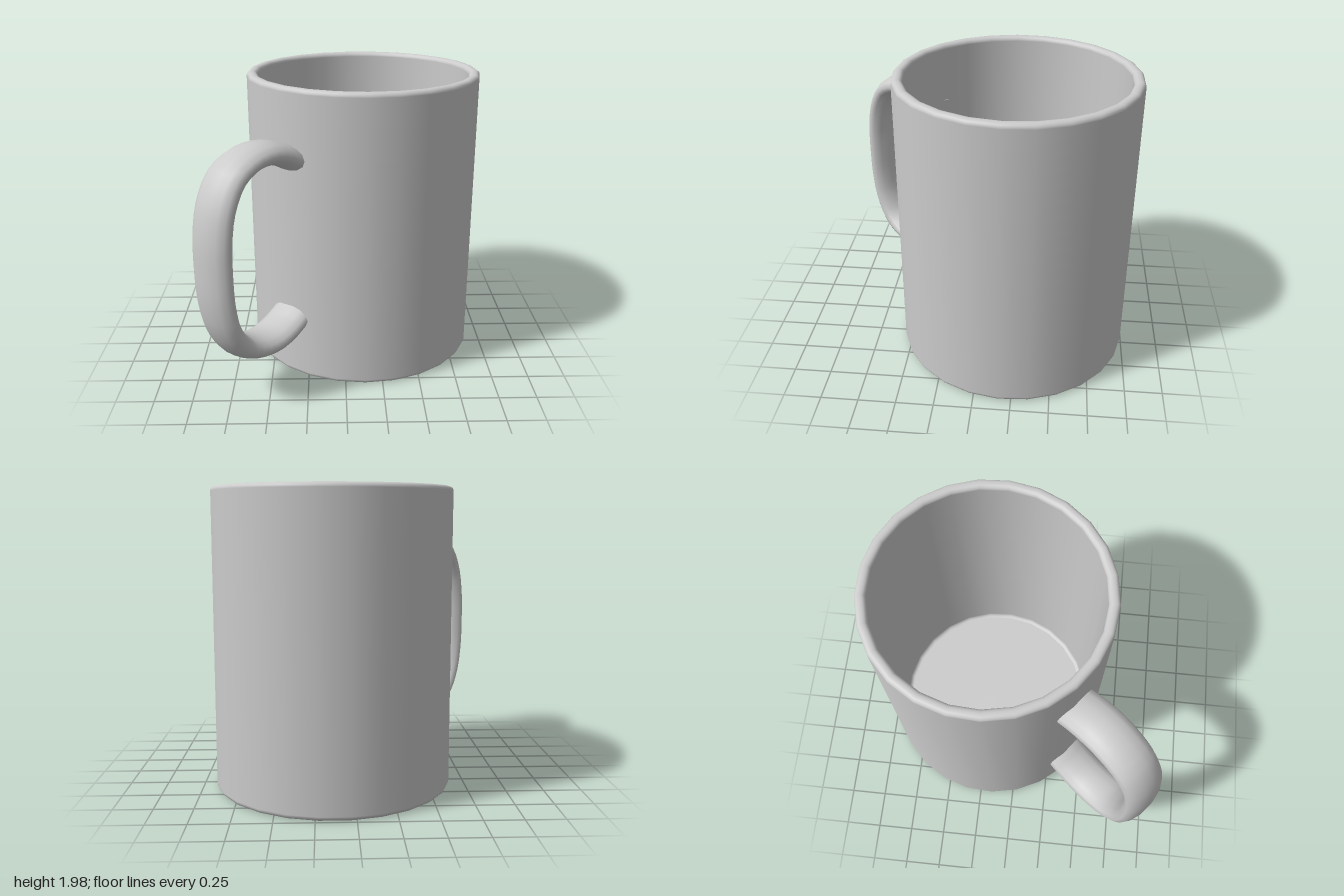
import * as THREE from 'three';

const material = new THREE.MeshStandardMaterial({ color: 0xcccccc });
const HEIGHT = 1.98, OUTER = 0.787, INNER = 0.715, FLOOR = 0.08;

// Quarter-round corner of a profile, from angle a0 to a1
function fillet(cx, cy, r, a0, a1, steps = 4) {
  const points = [];
  for (let i = 0; i <= steps; i++) {
    const a = a0 + ((a1 - a0) * i) / steps;
    points.push(new THREE.Vector2(cx + r * Math.cos(a), cy + r * Math.sin(a)));
  }
  return points;
}

// Hollow cup: underside, outer wall, rounded rim, inner wall, floor
function makeBody() {
  const q = Math.PI / 2, r = 0.03;
  const profile = [
    new THREE.Vector2(0, 0),
    ...fillet(OUTER - r, r, r, -q, 0),
    ...fillet(OUTER - r, HEIGHT - r, r, 0, q),
    ...fillet(INNER + r, HEIGHT - r, r, q, 2 * q),
    ...fillet(INNER - r, FLOOR + r, r, 0, -q),
    new THREE.Vector2(0, FLOOR),
  ];
  const body = new THREE.Mesh(new THREE.LatheGeometry(profile, 25), material);
  body.name = 'cupBody';
  return body;
}

// Handle: a tube along a mirrored upper half, widened to an oval section
function makeHandle() {
  const midY = 0.98;
  const upper = [[0.745, 0.54], [0.86, 0.6], [1.0, 0.635], [1.15, 0.617],
    [1.28, 0.545], [1.37, 0.4], [1.412, 0.22]];
  const path = [
    ...upper.map(([x, y]) => new THREE.Vector3(x, midY + y, 0)),
    new THREE.Vector3(1.422, midY, 0),
    ...upper.slice().reverse().map(([x, y]) => new THREE.Vector3(x, midY - y, 0)),
  ];
  const geometry = new THREE.TubeGeometry(new THREE.CatmullRomCurve3(path), 36, 0.075, 14);
  geometry.scale(1, 1, 2.03);
  const handle = new THREE.Mesh(geometry, material);
  handle.name = 'handle';
  handle.rotation.y = Math.atan2(-0.759, -0.651);
  return handle;
}

export function createModel() {
  const mug = new THREE.Group();
  mug.name = 'mug';
  mug.add(makeBody(), makeHandle());
  // Shift the cup so that cup and handle together are centred
  mug.position.set(0.133, 0, -0.213);
  const model = new THREE.Group();
  model.add(mug);
  return model;
}
